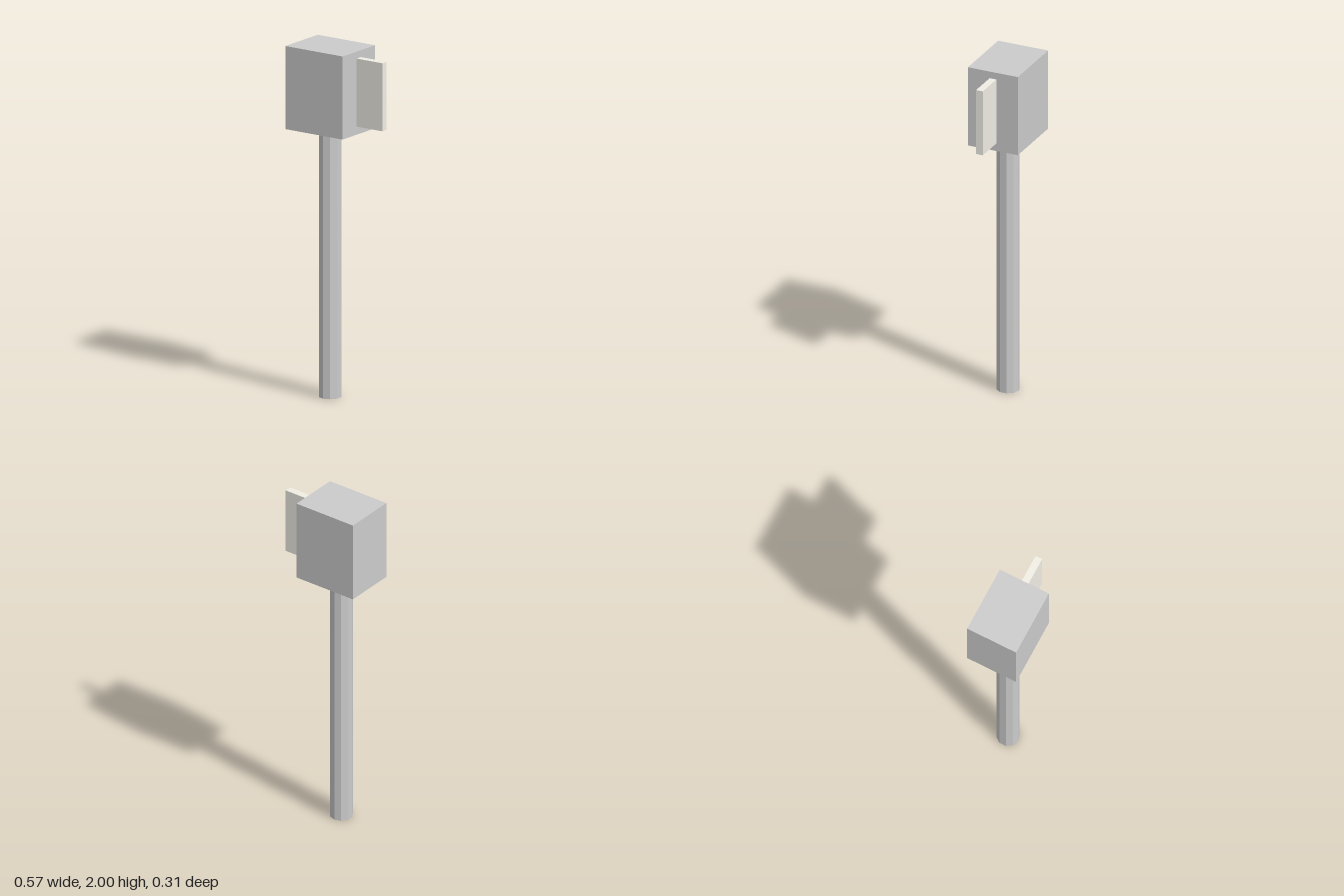
import * as THREE from 'three';

export function createModel() {
  const group = new THREE.Group();
  const grey = new THREE.MeshStandardMaterial({ color: 0xcccccc, flatShading: true });
  const cream = new THREE.MeshStandardMaterial({ color: 0xf1eee5, flatShading: true });

  const add = (name, geometry, material, x, y, z) => {
    const mesh = new THREE.Mesh(geometry, material);
    mesh.name = name;
    mesh.position.set(x, y, z);
    group.add(mesh);
  };

  // Ten-sided post, standing on the ground under the middle of the box
  add('post', new THREE.CylinderGeometry(0.065, 0.065, 1.526, 10), grey, -0.088, 0.763, 0);

  // Box on top of the post
  add('box', new THREE.BoxGeometry(0.391, 0.474, 0.305), grey, -0.0875, 1.763, 0);

  // Thin upright flag on the box's left side
  add('flag', new THREE.BoxGeometry(0.175, 0.388, 0.041), cream, 0.1955, 1.766, -0.001);

  return group;
}
